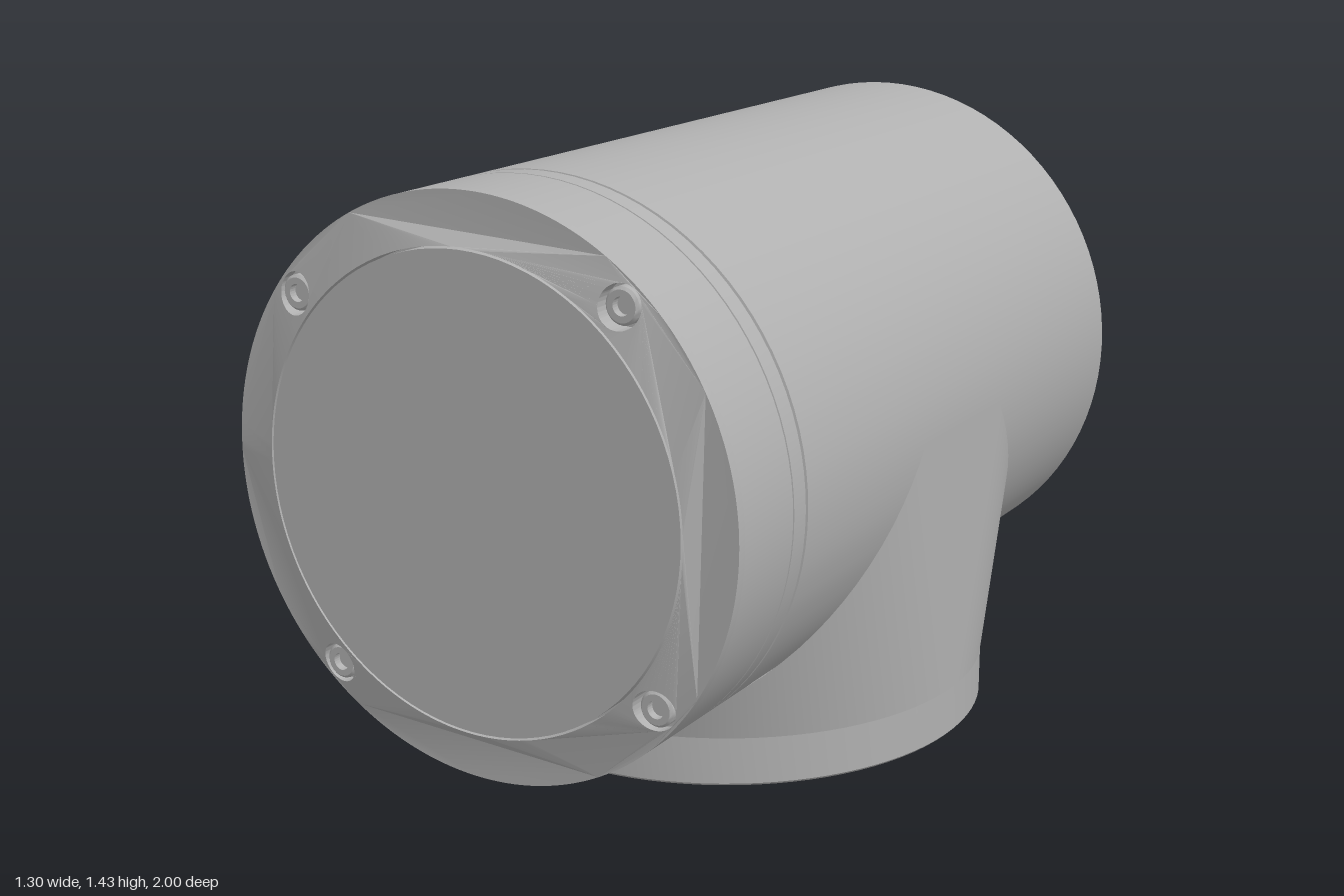
import * as THREE from 'three';
import { toCreasedNormals } from 'three/addons/utils/BufferGeometryUtils.js';

const R = 0.648;        // radius of both the barrel and the neck
const AXIS_Y = 0.78;    // height of the barrel axis
const NECK_Z = -0.055;  // depth of the neck axis
const SEG = 96;

export function createModel() {
  const root = new THREE.Group();
  root.name = 'elbowJointHousing';
  const grey = new THREE.MeshStandardMaterial({ color: 0xb0b0b0 });
  grey.name = 'housingGrey';

  const barrel = new THREE.Group();
  barrel.name = 'barrel';
  barrel.position.y = AXIS_Y;
  const neck = new THREE.Group();
  neck.name = 'neck';
  neck.position.z = NECK_Z;
  root.add(barrel, neck);

  const add = (parent, name, geometry, crease = 0.5) => {
    const mesh = new THREE.Mesh(toCreasedNormals(geometry, crease), grey);
    mesh.name = name;
    parent.add(mesh);
    return mesh;
  };
  const lathe = (pts, seg = SEG) =>
    new THREE.LatheGeometry(pts.map(([r, h]) => new THREE.Vector2(r, h)), seg);
  const circle = (x, y, r) => new THREE.Path().absarc(x, y, r, 0, Math.PI * 2, true);

  // Barrel tube, with the cap seams, closed at both ends
  add(barrel, 'barrelBody', lathe([
    [0, -0.92], [0.638, -0.92], [R, -0.91], [R, 0.695], [0.642, 0.697], [0.642, 0.703],
    [R, 0.705], [R, 0.753], [0.645, 0.754], [0.645, 0.757], [R, 0.758], [R, 0.95], [0, 0.95],
  ]).rotateX(Math.PI / 2), 0.3);

  // Rear cover with a round boss and a centre hole
  add(barrel, 'rearCover', lathe([
    [0, -0.985], [0.6, -0.985], [0.607, -0.978], [0.607, -0.9],
  ]).rotateX(Math.PI / 2));
  add(barrel, 'rearBoss', lathe([
    [0, -0.988], [0.042, -0.988], [0.042, -1], [0.25, -1], [0.25, -0.98],
  ]).rotateX(Math.PI / 2));

  // Front ring: sloped outward from the panel, with four screw pockets
  const screws = [50, 140, 230, 320].map((deg) => {
    const a = THREE.MathUtils.degToRad(deg);
    return [0.594 * Math.cos(a), 0.594 * Math.sin(a)];
  });
  const ringShape = new THREE.Shape().absarc(0, 0, R, 0, Math.PI * 2, false);
  ringShape.holes.push(circle(0, 0, 0.535), ...screws.map(([x, y]) => circle(x, y, 0.047)));
  const ring = new THREE.ExtrudeGeometry(ringShape, {
    depth: 0.05, bevelEnabled: false, curveSegments: SEG,
  }).translate(0, 0, 0.95);
  const p = ring.attributes.position;
  for (let i = 0; i < p.count; i++) {
    if (p.getZ(i) > 0.99) {
      const r = Math.hypot(p.getX(i), p.getY(i));
      p.setZ(i, 1 - Math.max(0, r - 0.535) * 0.24);
    }
  }
  add(barrel, 'frontRing', ring, 0.25);
  add(barrel, 'frontPanel',
    new THREE.CylinderGeometry(0.53, 0.53, 0.05, SEG).rotateX(Math.PI / 2).translate(0, 0, 0.975));

  // Socket-head screws
  const screwHead = lathe([
    [0.04, 0], [0.04, 0.024], [0.034, 0.03], [0.02, 0.03], [0.02, 0.012], [0, 0.012],
  ], 24).rotateX(Math.PI / 2);
  screws.forEach(([x, y]) => add(barrel, 'frontScrew', screwHead).position.set(x, y, 0.95));

  // Neck foot: outer wall and rim
  add(neck, 'footRim', lathe([
    [0.61, 0.13], [0.61, 0], [0.641, 0], [R, 0.007], [R, 0.12],
  ]));

  // Saddle: ruled from the foot circle up to the line where it meets the barrel
  const pos = [], idx = [], N = 48;
  for (const side of [1, -1]) {
    for (let i = 0; i <= N; i++) {
      const a = Math.PI * (i / N - 0.5);
      const x = side * R * Math.sin(a), c = Math.cos(a);
      pos.push(x, 0.12, side * R * c);
      pos.push(x, AXIS_Y - (R + 0.002) * c, side * (0.2 + 0.45 * c));
    }
  }
  const cols = 2 * (N + 1);
  for (let i = 0; i < cols; i++) {
    const a = 2 * i, b = 2 * ((i + 1) % cols);
    idx.push(a, b, b + 1, a, b + 1, a + 1);
  }
  const saddle = new THREE.BufferGeometry();
  saddle.setAttribute('position', new THREE.Float32BufferAttribute(pos, 3));
  saddle.setIndex(idx);
  add(neck, 'saddle', saddle, 0.6);

  // Mounting plate: hub ring, twelve spokes with bolt holes, pockets between
  const plate = new THREE.Shape().absarc(0, 0, 0.612, 0, Math.PI * 2, false);
  plate.holes.push(circle(0, 0, 0.26));
  const pocket = [[0.38, 0.066], [0.5, 0.1], [0.535, 0.082], [0.58, 0.082]];
  const outline = [...pocket, ...pocket.map(([r, w]) => [r, -w]).reverse()];
  for (let k = 0; k < 12; k++) {
    const a = (k / 12) * Math.PI * 2, b = a + Math.PI / 12;
    plate.holes.push(new THREE.Path(outline.map(([r, w]) => new THREE.Vector2(
      r * Math.cos(a) - w * Math.sin(a), r * Math.sin(a) + w * Math.cos(a)))));
    plate.holes.push(circle(0.55 * Math.cos(b), 0.55 * Math.sin(b), 0.014));
  }
  add(neck, 'mountingPlate', new THREE.ExtrudeGeometry(plate, {
    depth: 0.11, bevelEnabled: false, curveSegments: 48,
  }).rotateX(Math.PI / 2).translate(0, 0.125, 0));
  add(neck, 'pocketFloor', new THREE.CircleGeometry(0.612, SEG).rotateX(Math.PI / 2).translate(0, 0.124, 0));

  // Collar lining the hub opening
  add(neck, 'hubCollar', lathe([
    [0.25, 0.124], [0.25, 0.008], [0.28, 0.008], [0.28, 0.03],
  ]));

  return root;
}
